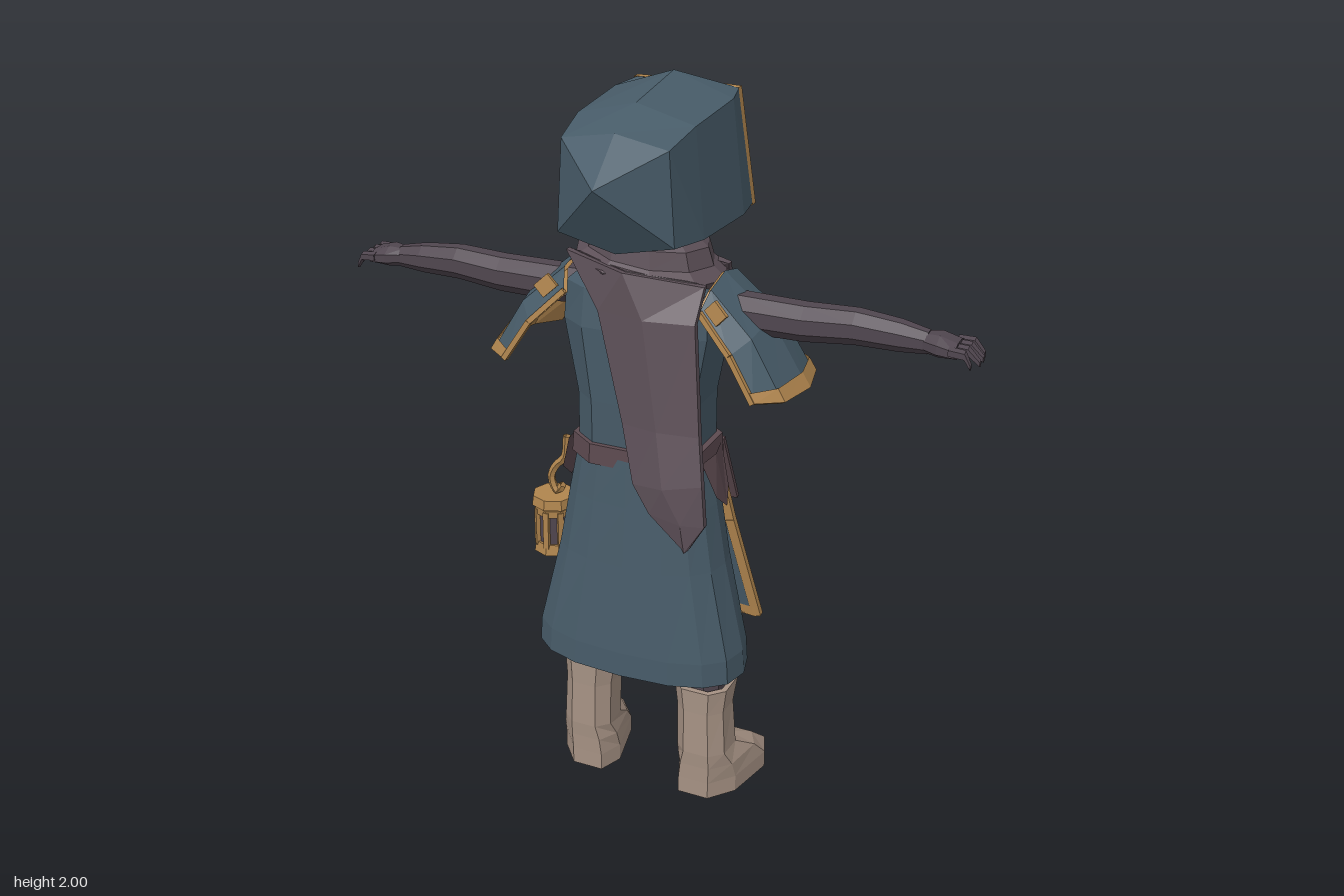
import * as THREE from 'three';

const mat = (name, color) => {
  const m = new THREE.MeshStandardMaterial({ color, flatShading: true, side: THREE.DoubleSide });
  m.name = name;
  return m;
};
const V = (x, y, z) => new THREE.Vector3(x, y, z);

// Superelliptic cross-section, counter-clockwise seen from above
function ring(y, cx, cz, rx, rz, n = 8, p = 1, off = 0.5) {
  const pw = v => Math.sign(v) * Math.abs(v) ** p;
  return Array.from({ length: n }, (_, j) => {
    const a = (j + off) / n * Math.PI * 2;
    return V(cx + rx * pw(Math.sin(a)), y, cz + rz * pw(Math.cos(a)));
  });
}

// Skin over equal-length rows of points
function loft(rows, { closed = true, bottom = false, top = false } = {}) {
  const out = [], n = rows[0].length;
  const tri = (...p) => p.forEach(v => out.push(v.x, v.y, v.z));
  for (let i = 0; i < rows.length - 1; i++)
    for (let j = 0; j < (closed ? n : n - 1); j++) {
      const k = (j + 1) % n, a = rows[i], b = rows[i + 1];
      tri(a[j], a[k], b[k]);
      tri(a[j], b[k], b[j]);
    }
  const cap = (r, up) => {
    const c = r.reduce((s, v) => s.add(v), V(0, 0, 0)).divideScalar(n);
    r.forEach((v, j) => up ? tri(c, v, r[(j + 1) % n]) : tri(c, r[(j + 1) % n], v));
  };
  if (bottom) cap(rows[0], false);
  if (top) cap(rows[rows.length - 1], true);
  const g = new THREE.BufferGeometry();
  g.setAttribute('position', new THREE.Float32BufferAttribute(out, 3));
  g.computeVertexNormals();
  return g;
}
const solid = rows => loft(rows, { bottom: true, top: true });
const sheet = rows => loft(rows, { closed: false });

// Thin cloth: each row lists points from -x to +x, t is the thickness in z
const slab = (rows, t) => solid(rows.map(r => [
  ...r.map(p => V(p[0], p[1], p[2] + t / 2)),
  ...r.slice().reverse().map(p => V(p[0], p[1], p[2] - t / 2))]));

// Flat bar between two points, thickness facing z
function bar(a, b, w, t) {
  const o = new THREE.Object3D();
  o.up.set(0, 0, 1);
  o.position.copy(a).add(b).multiplyScalar(0.5);
  o.lookAt(b);
  o.updateMatrix();
  return new THREE.BoxGeometry(w, t, a.distanceTo(b)).applyMatrix4(o.matrix);
}

// Copy reflected to the -x side with the winding put right
function mirror(geo) {
  const g = geo.index ? geo.toNonIndexed() : geo.clone();
  g.scale(-1, 1, 1);
  const p = g.attributes.position;
  for (let i = 0; i < p.count; i += 3) {
    const b = V(0, 0, 0).fromBufferAttribute(p, i + 1), c = V(0, 0, 0).fromBufferAttribute(p, i + 2);
    p.setXYZ(i + 1, c.x, c.y, c.z);
    p.setXYZ(i + 2, b.x, b.y, b.z);
  }
  g.computeVertexNormals();
  return g;
}

export function createModel() {
  const model = new THREE.Group();
  model.name = 'hoodedTraveller';
  const blue = mat('blueCloth', 0x475b68), plum = mat('plumScarf', 0x5c4f57), dark = mat('darkClothing', 0x50464f);
  const gold = mat('goldTrim', 0xb0854e), tan = mat('bootLeather', 0xa69284), belt = mat('beltLeather', 0x5d4a50);
  const add = (name, geo, m) => {
    const mesh = new THREE.Mesh(geo, m);
    mesh.name = name;
    model.add(mesh);
  };
  const pair = (name, geo, m) => {
    add(name + 'Left', geo, m);
    add(name + 'Right', mirror(geo), m);
  };

  // Hood: six-sided rings from the face opening back to the point
  const hoodRing = (z, top, cx, cy, lx, ly, low, zLow = z) => [V(0, top, z), V(-cx, cy, z), V(-lx, ly, z),
    V(0, low, zLow), V(lx, ly, z), V(cx, cy, z)];
  const opening = hoodRing(-0.265, 1.953, 0.14, 1.95, 0.185, 1.66, 1.585, -0.275);
  add('hood', loft([opening,
    hoodRing(-0.18, 2.0, 0.16, 1.945, 0.195, 1.655, 1.6),
    hoodRing(0.04, 1.97, 0.155, 1.93, 0.18, 1.655, 1.615),
    hoodRing(0.16, 1.925, 0.14, 1.9, 0.155, 1.665, 1.63),
    hoodRing(0.28, 1.82, 0, 1.82, 0, 1.82, 1.82)]), blue);
  const rim = (s, dz) => opening.map(v => V(v.x * s, 1.78 + (v.y - 1.78) * s, v.z + dz));
  add('hoodTrim', loft([rim(0.89, 0.015), rim(0.89, -0.01), rim(1.02, -0.01), rim(1.02, 0.012)]), gold);

  // Scarf: slanted neck wrap, front drape and long back tail
  const wrap = (y, rx, rz) => ring(y, 0, -0.05, rx, rz, 10).map(v => V(v.x, v.y - v.x * 0.1, v.z));
  add('scarfWrap', solid([wrap(1.48, 0.13, 0.1), wrap(1.5, 0.18, 0.14), wrap(1.55, 0.205, 0.165),
    wrap(1.575, 0.17, 0.135), wrap(1.62, 0.155, 0.125), wrap(1.66, 0.1, 0.08)]), plum);
  add('scarfDrape', slab([
    [[-0.19, 1.33, -0.2], [-0.08, 1.32, -0.235], [0.06, 1.32, -0.235]],
    [[-0.21, 1.46, -0.17], [-0.05, 1.45, -0.24], [0.16, 1.46, -0.19]],
    [[-0.2, 1.57, -0.1], [-0.02, 1.56, -0.2], [0.19, 1.55, -0.11]]], 0.02), plum);
  add('scarfTail', slab([
    [[0.19, 0.88, 0.175], [0.2, 0.87, 0.18], [0.21, 0.88, 0.18]],
    [[0.1, 0.96, 0.175], [0.19, 0.95, 0.185], [0.25, 0.95, 0.17]],
    [[0.05, 1.03, 0.165], [0.14, 1.04, 0.185], [0.24, 1.06, 0.165]],
    [[0.01, 1.18, 0.14], [0.11, 1.18, 0.155], [0.22, 1.18, 0.14]],
    [[-0.07, 1.46, 0.11], [0.06, 1.46, 0.13], [0.19, 1.46, 0.105]],
    [[-0.19, 1.58, 0.04], [0.0, 1.57, 0.115], [0.19, 1.54, 0.05]]], 0.018), plum);

  // Torso with two gold front seams
  add('torso', solid([[1.0, 0.17, 0.12], [1.2, 0.168, 0.128], [1.4, 0.205, 0.133], [1.5, 0.2, 0.12], [1.57, 0.12, 0.09]]
    .map(([y, rx, rz]) => ring(y, 0, -0.03, rx, rz, 8, 0.5))), blue);
  pair('coatSeam', bar(V(0.1, 1.07, -0.155), V(0.12, 1.42, -0.162), 0.016, 0.012), gold);

  // Coat skirt, open at the front
  const skirtRow = ([y, rx, rz, cz]) => Array.from({ length: 13 }, (_, j) => {
    const a = (-135 + j * 22.5) / 180 * Math.PI;
    return V(rx * Math.sign(Math.sin(a)) * Math.abs(Math.sin(a)) ** 0.8, y,
      cz + rz * Math.sign(Math.cos(a)) * Math.abs(Math.cos(a)) ** 0.8);
  });
  add('coatSkirt', sheet([[0.43, 0.3, 0.155, 0], [0.5, 0.295, 0.153, 0], [0.75, 0.235, 0.14, -0.01],
    [0.92, 0.205, 0.13, -0.015], [1.05, 0.18, 0.125, -0.02]].map(skirtRow)), blue);

  // Front panel with trim and corner studs
  const panelRow = (y, w, z, bow) => [-1, -0.5, 0, 0.5, 1].map(s => [s * w, y + s * s * 0.01, z + bow * s * s]);
  const panel = [panelRow(0.47, 0.25, -0.25, 0.03), panelRow(0.78, 0.18, -0.2, 0.025), panelRow(1.05, 0.125, -0.155, 0.01)];
  add('frontPanel', slab(panel, 0.012), blue);
  const at = p => V(p[0], p[1], p[2] - 0.003);
  for (let i = 0; i < 2; i++) pair('panelSideTrim' + i, bar(at(panel[i][4]), at(panel[i + 1][4]), 0.026, 0.018), gold);
  const hem = (dy, dz) => panel[0].map(p => V(p[0], p[1] + dy, p[2] + dz));
  add('panelHemTrim', sheet([hem(0.028, -0.006), hem(-0.002, -0.012), hem(-0.002, 0.009), hem(0.028, 0.012)]), gold);
  const stud = new THREE.CylinderGeometry(0.016, 0.016, 0.014, 6).rotateX(Math.PI / 2).translate(0.205, 0.53, -0.232);
  pair('panelStud', stud, gold);

  // Belt, buckle and hanging cloth
  add('belt', solid([ring(1.025, 0, -0.03, 0.192, 0.14, 8, 0.6), ring(1.08, 0, -0.03, 0.188, 0.138, 8, 0.6)]), belt);
  for (const s of [-1, 1]) {
    add('buckleSide', new THREE.BoxGeometry(0.016, 0.08, 0.018).translate(s * 0.057, 1.052, -0.175), gold);
    add('buckleRail', new THREE.BoxGeometry(0.13, 0.016, 0.018).translate(0, 1.052 + s * 0.034, -0.175), gold);
  }
  add('bucklePin', new THREE.BoxGeometry(0.06, 0.012, 0.016).translate(0.025, 1.052, -0.176), gold);
  pair('beltStrap', bar(V(0.15, 1.04, -0.155), V(0.162, 0.83, -0.235), 0.032, 0.012), belt);
  pair('sideCloth', sheet([
    [V(0.222, 0.96, 0.03), V(0.228, 0.91, -0.03), V(0.215, 0.95, -0.07)],
    [V(0.19, 1.06, 0.055), V(0.198, 1.06, -0.02), V(0.18, 1.06, -0.1)]]), belt);

  // Shoulder capes, lined and trimmed
  const cape = [
    [V(0.345, 1.28, 0.11), V(0.405, 1.275, 0.06), V(0.43, 1.275, -0.05), V(0.405, 1.275, -0.16), V(0.345, 1.28, -0.21)],
    [V(0.275, 1.39, 0.1), V(0.315, 1.425, 0.055), V(0.325, 1.445, -0.05), V(0.315, 1.425, -0.15), V(0.275, 1.39, -0.19)],
    [V(0.185, 1.48, 0.075), V(0.2, 1.53, 0.04), V(0.2, 1.55, -0.05), V(0.2, 1.53, -0.13), V(0.185, 1.48, -0.165)]];
  const shift = (row, d) => row.map(v => V(v.x + d, v.y + d * 0.6, v.z + (v.z + 0.05) * d * 4));
  pair('shoulderCape', sheet(cape), blue);
  pair('capeLining', sheet(cape.map(r => shift(r, -0.008))), gold);
  const band = cape[0].map((v, j) => v.clone().lerp(cape[1][j], 0.22));
  pair('capeHem', sheet([shift(cape[0], -0.008), shift(cape[0], 0.006), shift(band, 0.006)]), gold);
  for (const j of [0, 4]) for (let i = 0; i < 2; i++)
    pair('capeEdge', bar(cape[i][j], cape[i + 1][j], 0.014, 0.014), gold);
  pair('capePatch', bar(V(0.215, 1.505, 0.077), V(0.25, 1.472, 0.086), 0.04, 0.012), gold);

  // Arms and hands: lofted upright, then laid along x at shoulder height
  const limb = rows => solid(rows).rotateZ(-Math.PI / 2);
  pair('arm', limb([[0.15, 1.46, 0.05], [0.26, 1.455, 0.052], [0.42, 1.455, 0.05], [0.55, 1.465, 0.046],
    [0.66, 1.46, 0.04], [0.73, 1.455, 0.03]].map(([x, y, r]) => ring(x, -y, -0.04, r, r, 8))), dark);
  pair('palm', limb([[0.72, 1.455, 0.026, 0.03], [0.76, 1.455, 0.03, 0.05], [0.805, 1.45, 0.022, 0.052]]
    .map(([x, y, ry, rz]) => ring(x, -y, -0.04, ry, rz, 8))), dark);
  [-0.083, -0.055, -0.027, 0.001].forEach((z, i) => {
    const r = 0.013, len = [0.855, 0.86, 0.86, 0.845][i];
    pair('finger' + i, limb([ring(0.79, -1.455, z, r, r, 5), ring(0.83, -1.452, z * 1.1, r, r, 5),
      ring(len, -1.425, z * 1.1, 0.009, 0.009, 5)]), dark);
  });
  pair('thumb', limb([ring(0.745, -1.45, -0.075, 0.014, 0.014, 5), ring(0.785, -1.435, -0.105, 0.013, 0.012, 5),
    ring(0.82, -1.42, -0.11, 0.008, 0.008, 5)]), dark);

  // Legs and boots
  pair('leg', solid([[0.3, 0.168, 0.058], [0.45, 0.162, 0.062], [0.62, 0.15, 0.065], [0.85, 0.115, 0.075], [1.03, 0.09, 0.08]]
    .map(([y, x, r]) => ring(y, x, -0.04, r, r, 8))), dark);
  const bootRing = ([y, cx, cz, rx, rz, toe]) => ring(y, cx, cz, rx, rz, 8, 0.75)
    .map(v => V(v.x - (v.z - cz) * toe, v.y, v.z));
  pair('boot', solid([[0, 0.197, -0.115, 0.092, 0.15, 0.22], [0.05, 0.197, -0.115, 0.092, 0.15, 0.22],
    [0.1, 0.19, -0.085, 0.088, 0.12, 0.18], [0.145, 0.178, -0.04, 0.076, 0.076, 0.05], [0.28, 0.172, -0.04, 0.073, 0.075, 0],
    [0.35, 0.17, -0.05, 0.082, 0.087, 0], [0.35, 0.17, -0.05, 0.066, 0.07, 0], [0.33, 0.17, -0.05, 0.06, 0.06, 0]]
    .map(bootRing)), tan);

  // Belt lantern: frame, posts, dark panes and hook
  const lx = -0.283, lz = -0.03;
  const disc = (name, y, r0, r1, h, m) => add(name, new THREE.CylinderGeometry(r1, r0, h, 8).translate(lx, y, lz), m);
  disc('lanternBase', 0.685, 0.06, 0.055, 0.03, gold);
  disc('lanternPanes', 0.75, 0.048, 0.048, 0.11, dark);
  disc('lanternCollar', 0.795, 0.055, 0.055, 0.02, gold);
  disc('lanternLid', 0.826, 0.064, 0.06, 0.028, gold);
  for (let i = 0; i < 8; i++) {
    const a = i / 8 * Math.PI * 2;
    add('lanternPost', new THREE.BoxGeometry(0.016, 0.11, 0.016).rotateY(a)
      .translate(lx + 0.048 * Math.sin(a), 0.745, lz + 0.048 * Math.cos(a)), gold);
  }
  const hook = new THREE.CatmullRomCurve3([V(-0.255, 0.87, lz), V(-0.272, 0.845, lz), V(-0.29, 0.885, lz),
    V(-0.275, 0.925, lz), V(-0.248, 0.955, lz), V(-0.24, 1.02, lz)]);
  add('lanternHook', new THREE.TubeGeometry(hook, 14, 0.011, 5), gold);

  return model;
}
